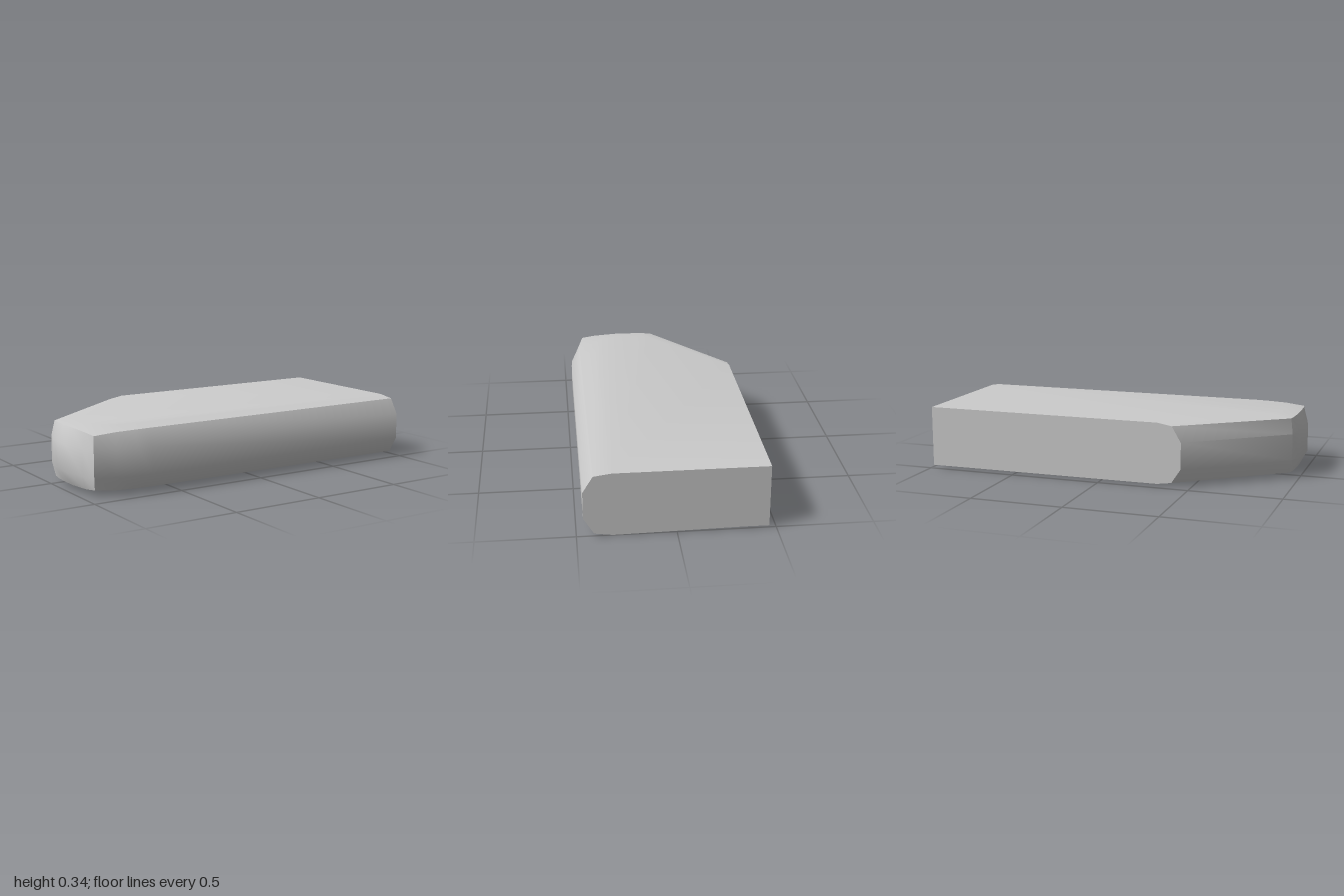
import * as THREE from 'three';
import { toCreasedNormals } from 'three/addons/utils/BufferGeometryUtils.js';

const TOP = 0.342;

// Outline stations: [side x, z,  rim x, z, rim height,  plateau x, z]
const STATIONS = [
  [1, 0.465, 1, 0.412, 0.329, 1, 0.32],
  [-0.65, 0.465, -0.65, 0.412, 0.329, -0.6, 0.32],
  [-0.73, 0.46, -0.72, 0.41, 0.328, -0.68, 0.315],
  [-0.84, 0.437, -0.83, 0.402, 0.325, -0.77, 0.3],
  [-0.947, 0.397, -0.94, 0.387, 0.315, -0.83, 0.27],
  [-0.972, 0.32, -0.951, 0.31, 0.323, -0.86, 0.22],
  [-1, 0.18, -0.96, 0.18, 0.328, -0.87, 0.15],
  [-0.997, 0.09, -0.96, 0.09, 0.328, -0.87, 0.08],
  [-0.985, 0.01, -0.956, 0.01, 0.328, -0.86, 0.02],
  [-0.96, -0.067, -0.947, -0.05, 0.326, -0.84, -0.03],
  [-0.45, -0.465, -0.4, -0.465, 0.328, -0.32, -0.465],
  [1, -0.465, 1, -0.465, TOP, 1, -0.465],
];

// The underside rises slightly toward the nose and the back
const tilt = (x, z) => 0.012 * Math.max(0, (1 - x) / 1.9, (0.33 - z) / 0.8);

function slabGeometry() {
  // Six rings from the underside to the top plateau
  const rings = [
    STATIONS.map(([, , , , , px, pz]) => [px, tilt(px, pz), pz]),
    STATIONS.map(([, , rx, rz, ry]) => [rx, TOP - ry + 0.8 * tilt(rx, rz), rz]),
    STATIONS.map(([x, z]) => [x, 0.1, z]),
    STATIONS.map(([x, z]) => [x, 0.243, z]),
    STATIONS.map(([, , rx, rz, ry]) => [rx, ry, rz]),
    STATIONS.map(([, , , , , px, pz]) => [px, TOP, pz]),
  ];
  const n = STATIONS.length;
  const index = [];
  // Walls and bevels between neighbouring rings
  for (let r = 0; r < rings.length - 1; r++) {
    for (let i = 0; i < n; i++) {
      const j = (i + 1) % n;
      const a = r * n + i, b = r * n + j;
      index.push(a, a + n, b + n, a, b + n, b);
    }
  }
  // Underside and top as fans
  const t = (rings.length - 1) * n;
  for (let i = 1; i < n - 1; i++) {
    index.push(0, i, i + 1);
    index.push(t, t + i + 1, t + i);
  }
  const geometry = new THREE.BufferGeometry();
  geometry.setAttribute('position', new THREE.Float32BufferAttribute(rings.flat(2), 3));
  geometry.setIndex(index);
  return toCreasedNormals(geometry, THREE.MathUtils.degToRad(35));
}

export function createModel() {
  const grey = new THREE.MeshStandardMaterial({ color: 0xcccccc });
  grey.name = 'plain grey';

  const slab = new THREE.Mesh(slabGeometry(), grey);
  slab.name = 'bevelledSlab';

  const group = new THREE.Group();
  group.name = 'slabModel';
  group.add(slab);
  return group;
}
